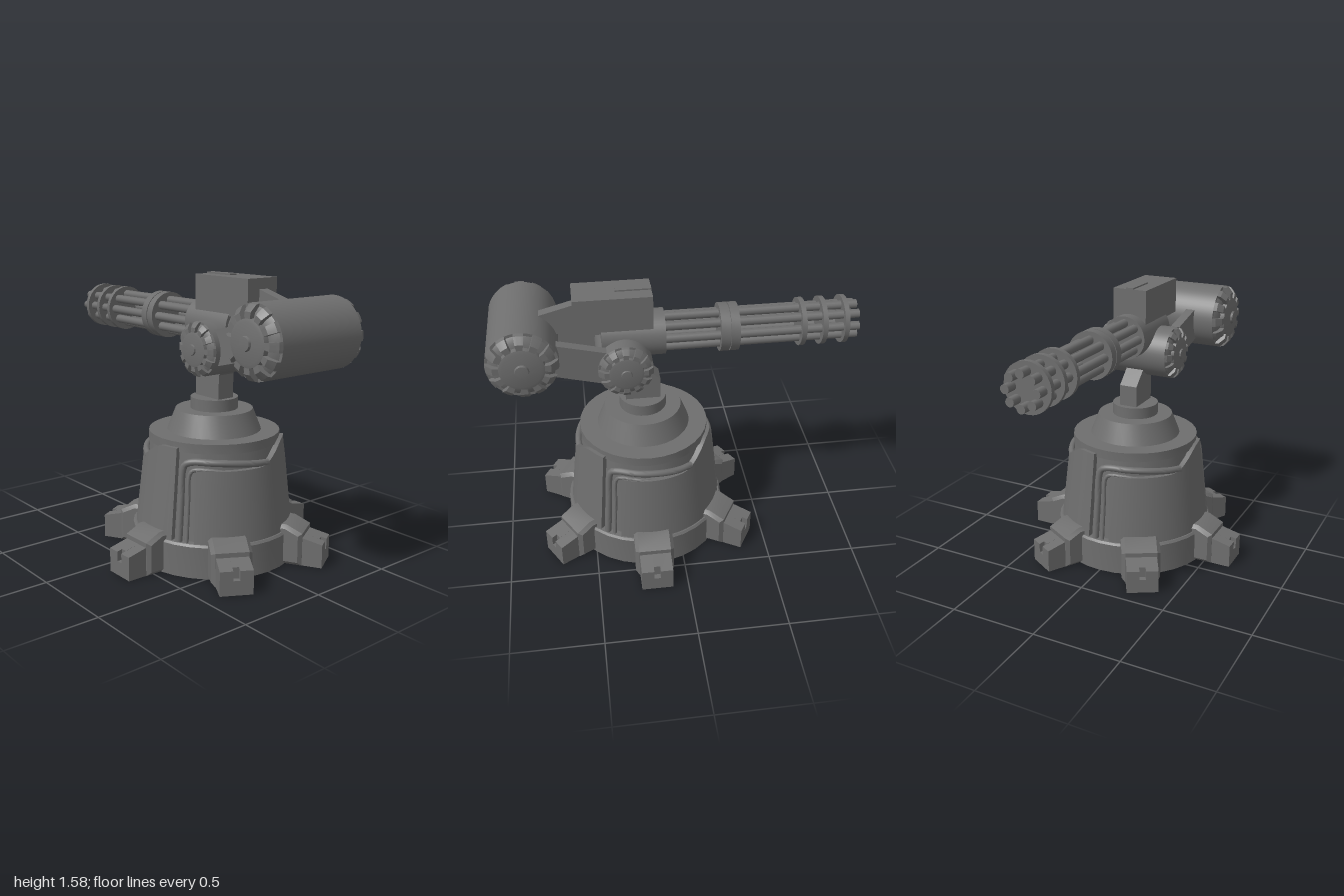
import * as THREE from 'three';
import { toCreasedNormals } from 'three/addons/utils/BufferGeometryUtils.js';

const material = new THREE.MeshStandardMaterial({ color: 0x6e6e6e });
const rad = THREE.MathUtils.degToRad;
const BASE_X = 0.177;
const GUN_Z = -0.013;

function add(parent, name, geometry, x = 0, y = 0, z = 0) {
  const mesh = new THREE.Mesh(toCreasedNormals(geometry, rad(32)), material);
  mesh.name = name;
  mesh.position.set(x, y, z);
  parent.add(mesh);
  return mesh;
}

function group(parent, name, x = 0, y = 0, z = 0) {
  const g = new THREE.Group();
  g.name = name;
  g.position.set(x, y, z);
  parent.add(g);
  return g;
}

const lathe = (points, segments = 32) =>
  new THREE.LatheGeometry(points.map(([r, y]) => new THREE.Vector2(r, y)), segments);

// Plate cut from a side profile, centred on its thickness
function plate(points, width, bevel = 0) {
  const shape = new THREE.Shape(points.map(([x, y]) => new THREE.Vector2(x, y)));
  const depth = width - 2 * bevel;
  return new THREE.ExtrudeGeometry(shape, {
    depth, bevelEnabled: bevel > 0, bevelThickness: bevel, bevelSize: bevel,
    bevelOffset: -bevel, bevelSegments: 1,
  }).translate(0, 0, -depth / 2);
}

// Solid swept about y from angle a0 to a1; profile(t) is a convex counter-clockwise [r, y] loop
function sector(profile, a0, a1, steps) {
  const positions = [], index = [];
  const n = profile(0).length;
  for (let i = 0; i <= steps; i++) {
    const a = rad(a0 + (a1 - a0) * i / steps);
    for (const [r, y] of profile(i / steps)) positions.push(r * Math.cos(a), y, r * Math.sin(a));
  }
  for (let i = 0; i < steps; i++) {
    for (let k = 0; k < n; k++) {
      const p = i * n + k, q = i * n + (k + 1) % n;
      index.push(p, q, p + n, q, q + n, p + n);
    }
  }
  const last = steps * n;
  for (let k = 1; k < n - 1; k++) {
    index.push(0, k + 1, k, last, last + k, last + k + 1);
  }
  const g = new THREE.BufferGeometry();
  g.setAttribute('position', new THREE.Float32BufferAttribute(positions, 3));
  g.setIndex(index);
  return g;
}

// Cylinder lying along x between x0 and x1
const rodX = (r, x0, x1, segments = 32) =>
  new THREE.CylinderGeometry(r, r, x1 - x0, segments).rotateZ(Math.PI / 2).translate((x0 + x1) / 2, 0, 0);

// Cross drum along z with toothed caps on both ends
function drum(parent, name, R, half, depth, x, y, z) {
  const g = group(parent, name, x, y, z);
  add(g, 'drumBody', new THREE.CylinderGeometry(R, R, half * 2, 48).rotateX(Math.PI / 2));
  for (const side of [1, -1]) {
    const cap = group(g, 'endCap', 0, 0, side * half);
    cap.rotation.x = side * Math.PI / 2;
    add(cap, 'capDisc', lathe([
      [0.92 * R, 0], [0.78 * R, 0.4 * depth], [0.64 * R, 0.5 * depth], [0.62 * R, depth],
      [0.53 * R, 1.1 * depth], [0.2 * R, 1.2 * depth],
      [0.18 * R, 1.45 * depth], [0, 1.5 * depth]]));
    const tooth = () => [[0.6 * R, 0], [R, 0], [0.97 * R, 0.4 * depth], [0.79 * R, depth], [0.6 * R, depth]];
    for (let i = 0; i < 12; i++) add(cap, 'capTooth', sector(tooth, i * 30 - 8, i * 30 + 8, 3));
  }
}

function buildBase(parent) {
  const base = group(parent, 'base', BASE_X);
  add(base, 'basePlinth', lathe([[0, 0], [0.46, 0], [0.46, 0.175], [0.45, 0.187], [0, 0.187]]));
  add(base, 'bodyCore', lathe([[0.412, 0.18], [0.358, 0.66], [0.365, 0.66], [0.365, 0.712], [0, 0.712]]));
  add(base, 'upperCone', lathe([[0.263, 0.71], [0.216, 0.83], [0, 0.83]]));
  add(base, 'neckRing', lathe([[0.132, 0.82], [0.132, 0.895], [0, 0.895]]));

  // Six feet, each with a notch in the outer end
  const footSide = [[0.48, 0], [0.656, 0], [0.656, 0.133], [0.48, 0.175]];
  const footNotch = [[0.48, 0], [0.656, 0], [0.656, 0.08], [0.625, 0.08], [0.625, 0.141], [0.48, 0.175]];
  for (let i = 0; i < 6; i++) {
    const foot = group(base, 'foot');
    foot.rotation.y = rad(30 + i * 60);
    add(foot, 'footBracket',
      plate([[0.38, 0], [0.545, 0], [0.545, 0.185], [0.455, 0.228], [0.38, 0.228]], 0.22, 0.02));
    add(foot, 'footToeMiddle', plate(footNotch, 0.036));
    for (const s of [1, -1]) add(foot, 'footToeSide', plate(footSide, 0.07), 0, 0, s * 0.053);
  }

  // Three armour panels with a sweeping top edge, and the pipes that run beside and over them
  const panelRadius = (y) => 0.442 - (y - 0.18) * 0.114;
  const panelProfile = (t) => {
    const top = 0.575 + 0.108 * (1 - THREE.MathUtils.smoothstep(t, 0.13, 0.5));
    return [[0.39, 0.18], [panelRadius(0.18), 0.18], [panelRadius(top), top], [0.345, top]];
  };
  const pipes = [
    { radius: 0.019, path: [[66, 0.18], [66, 0.4], [66, 0.56], [64, 0.6], [58, 0.617], [40, 0.617],
      [20, 0.608], [4, 0.596], [-8, 0.588]] },
    { radius: 0.011, path: [[60, 0.18], [60, 0.4], [60, 0.54], [58, 0.568], [54, 0.578], [42, 0.576], [30, 0.565]] },
  ];
  for (let i = 0; i < 3; i++) {
    const side = group(base, 'bodySide');
    side.rotation.y = rad(i * 120);
    add(side, 'armourPanel', sector(panelProfile, -49, 54, 24));
    for (const { radius, path } of pipes) {
      const curve = new THREE.CatmullRomCurve3(path.map(([a, y]) => {
        const r = 0.427 - (y - 0.18) * 0.112;
        return new THREE.Vector3(r * Math.cos(rad(a)), y, r * Math.sin(rad(a)));
      }));
      add(side, 'pipe', new THREE.TubeGeometry(curve, 48, radius, 12));
    }
  }
}

function buildMount(parent) {
  const mount = group(parent, 'mount', 0, 0, GUN_Z);
  add(mount, 'neckPost', plate([[0.08, 0.88], [0.275, 0.88], [0.275, 1.03], [0.36, 1.1],
    [0.28, 1.2], [0.17, 1.1], [0.08, 1.015]], 0.105), 0, 0, 0.013);
  drum(mount, 'pivotDrum', 0.147, 0.205, 0.034, 0.278, 1.19, 0.008);
  drum(mount, 'ammoDrum', 0.188, 0.27, 0.05, 0.808, 1.3, 0.033);
  for (const s of [1, -1]) {
    add(mount, 'sideArm', plate([[0.27, 1.275], [0.35, 1.1], [0.66, 1.18], [0.82, 1.3], [0.66, 1.37]], 0.054),
      0, 0, s * 0.157);
  }
  add(mount, 'feedLink', plate([[0.5, 1.37], [0.71, 1.33], [0.71, 1.463], [0.5, 1.52]], 0.058), 0, 0, -0.007);
}

function buildGun(parent) {
  const gun = group(parent, 'gun', 0, 1.303, GUN_Z);
  add(gun, 'receiver', rodX(0.125, 0.055, 0.395, 40));
  add(gun, 'receiverBox', new THREE.BoxGeometry(0.415, 0.202, 0.202), 0.3275, 0.163, 0);
  add(gun, 'topRail', new THREE.BoxGeometry(0.19, 0.02, 0.045), 0.215, 0.262, 0);

  // Eight barrels held by rings
  for (let i = 0; i < 8; i++) {
    const a = i * Math.PI / 4;
    add(gun, 'barrel', rodX(0.024, -1, 0.07, 14), 0, 0.086 * Math.cos(a), 0.086 * Math.sin(a));
  }
  for (const x of [-0.925, -0.805, -0.69]) add(gun, 'barrelRing', rodX(0.132, x - 0.013, x + 0.013));
  for (const x of [-0.317, -0.263]) add(gun, 'clampRing', rodX(0.132, x - 0.024, x + 0.024));
  add(gun, 'clampCore', rodX(0.122, -0.31, -0.27));
}

export function createModel() {
  const model = new THREE.Group();
  model.name = 'gunTurret';
  buildBase(model);
  buildMount(model);
  buildGun(model);
  return model;
}
